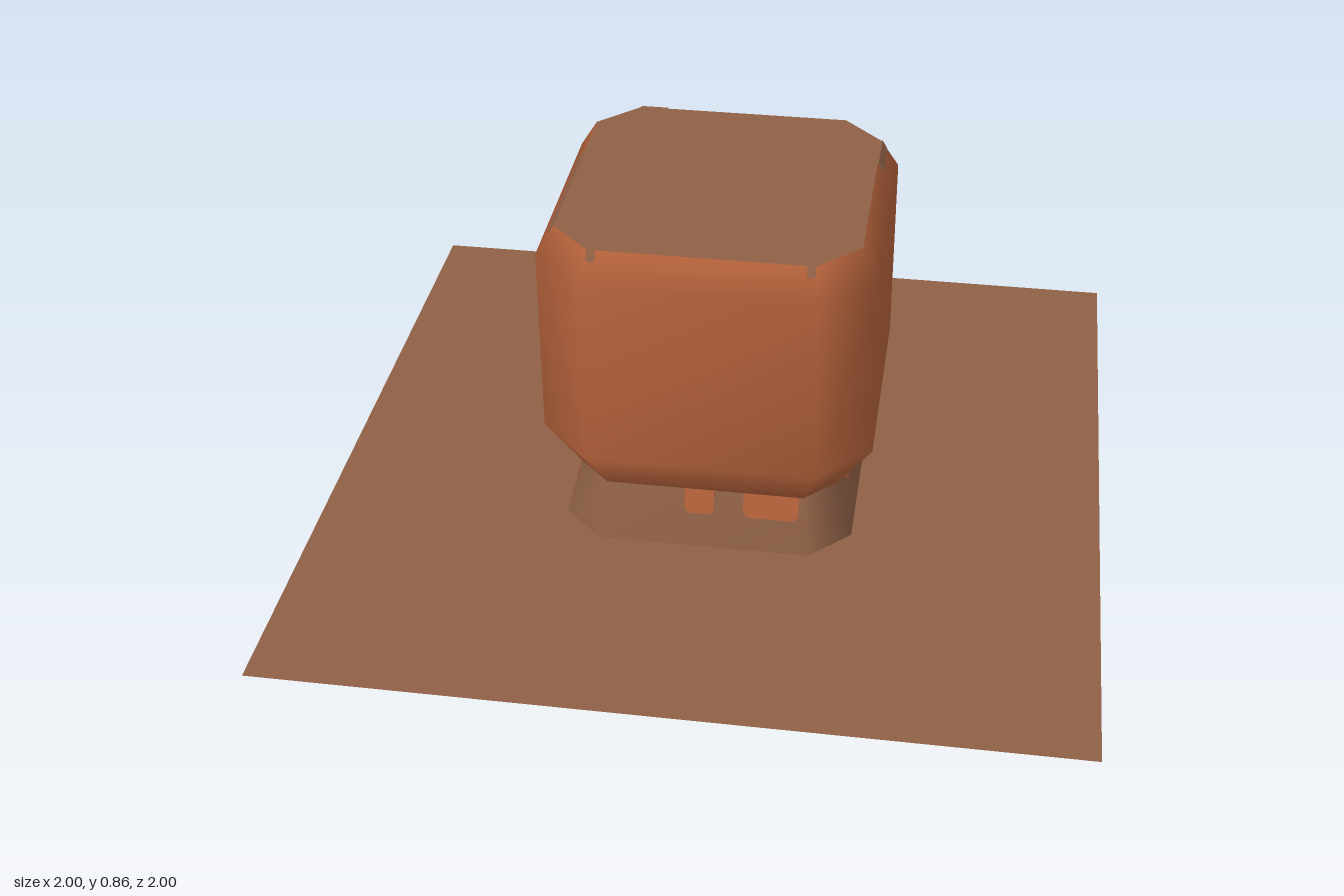
import * as THREE from 'three';

const clay = new THREE.MeshStandardMaterial({ color: 0xb5623b, side: THREE.DoubleSide });
clay.name = 'orange clay';
const earth = new THREE.MeshStandardMaterial({ color: 0x8f6046, side: THREE.DoubleSide });
earth.name = 'brown earth';

// Square with cut corners: half width w, cut starting at c
const octagon = (w, c) => [[c, w], [w, c], [w, -c], [c, -w], [-c, -w], [-w, -c], [-w, c], [-c, w]];

// Smooth wall through octagonal rings [y, halfWidth, cornerStart], bottom to top
function wall(levels) {
  const pos = [], index = [];
  levels.forEach(([y, w, c], r) => {
    octagon(w, c).forEach(([x, z], i) => {
      pos.push(x, y, z);
      if (r === 0) return;
      const j = (i + 1) % 8, lo = (r - 1) * 8, hi = r * 8;
      index.push(lo + i, lo + j, hi + j, lo + i, hi + j, hi + i);
    });
  });
  const g = new THREE.BufferGeometry();
  g.setAttribute('position', new THREE.Float32BufferAttribute(pos, 3));
  g.setIndex(index);
  g.computeVertexNormals();
  return g;
}

const octagonPoints = (w, c) => octagon(w, c).map(([x, z]) => new THREE.Vector2(x, z));

export function createModel() {
  const model = new THREE.Group();
  const add = (name, geometry, material, parent = model) => {
    const mesh = new THREE.Mesh(geometry, material);
    mesh.name = name;
    parent.add(mesh);
    return mesh;
  };

  // Ground sheet, open beneath the foot
  const sheet = new THREE.Shape([[-1, -1], [1, -1], [1, 1], [-1, 1]].map(([x, y]) => new THREE.Vector2(x, y)));
  sheet.holes.push(new THREE.Path(octagonPoints(0.37, 0.27)));
  add('ground', new THREE.ShapeGeometry(sheet).rotateX(-Math.PI / 2), earth);

  // Flared foot, swelling body and flat lid
  add('foot', wall([[0, 0.37, 0.27], [0.15, 0.33, 0.25]]), earth);
  add('body', wall([[0.15, 0.33, 0.25], [0.28, 0.415, 0.285], [0.78, 0.415, 0.285], [0.855, 0.37, 0.27]]), clay);
  const lid = new THREE.ShapeGeometry(new THREE.Shape(octagonPoints(0.37, 0.27))).rotateX(-Math.PI / 2);
  add('lid', lid, earth).position.y = 0.855;

  // Thin hanging patch with rounded lower corners, top edge at local y = 0
  function drip(x0, x1, length, radius) {
    const s = new THREE.Shape();
    s.moveTo(x0, 0);
    s.lineTo(x0, radius - length);
    s.quadraticCurveTo(x0, -length, x0 + radius, -length);
    s.lineTo(x1 - radius, -length);
    s.quadraticCurveTo(x1, -length, x1, radius - length);
    s.lineTo(x1, 0);
    s.closePath();
    return new THREE.ExtrudeGeometry(s, { depth: 0.006, bevelEnabled: false, curveSegments: 4 }).translate(0, 0, -0.003);
  }

  // Drips run down the foot; rim patches sit on the sloping shoulder
  const footDrips = [[[-0.05, 0.025], [0.1, 0.24]], [[-0.16, -0.08], [0, 0.24]]];
  const rimPatches = [[[-0.27, -0.25 + 0.0], [0.25, 0.27]], [[0.15, 0.27]], [[0.2, 0.27]], [[-0.1, 0.27]]];
  ['front', 'left', 'back', 'right'].forEach((side, k) => {
    const face = new THREE.Group();
    face.name = side + 'Drips';
    face.rotation.y = k * Math.PI / 2;
    model.add(face);
    footDrips[k % 2].forEach(([a, b]) => {
      const m = add('footDrip', drip(a, b, 0.065, 0.02), clay, face);
      m.position.set(0, 0.15, 0.33);
      m.rotation.x = -Math.atan2(0.04, 0.15);
    });
    rimPatches[k].forEach(([a, b]) => {
      const m = add('rimPatch', drip(a, b, 0.028, 0.008), earth, face);
      m.position.set(0, 0.855, 0.37);
      m.rotation.x = -Math.atan2(0.045, 0.075);
    });
  });

  return model;
}
